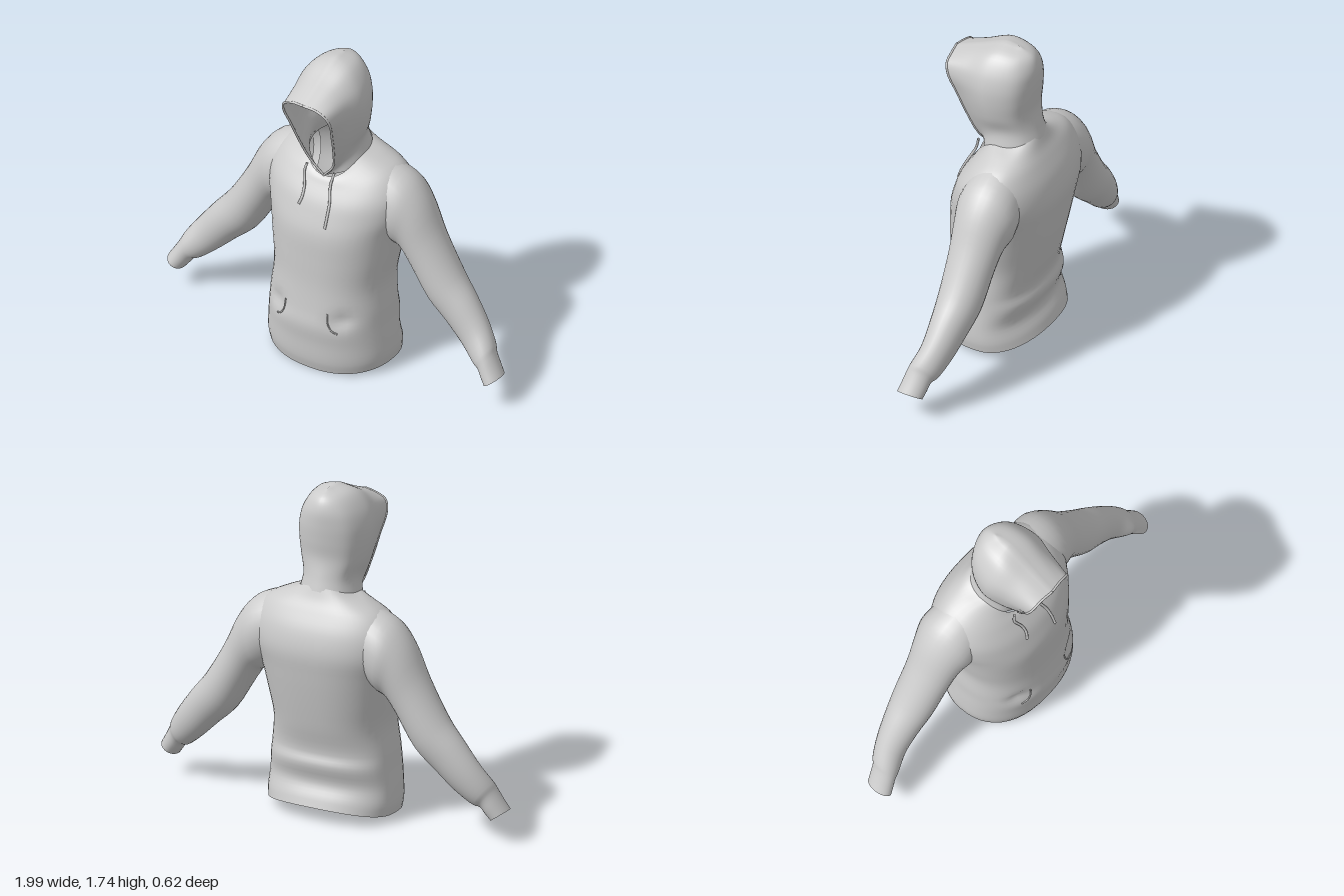
import * as THREE from 'three';
import { mergeVertices } from 'three/addons/utils/BufferGeometryUtils.js';

const V = (x, y, z) => new THREE.Vector3(x, y, z);
const cloth = new THREE.MeshStandardMaterial({ color: 0xcccccc, side: THREE.DoubleSide });

function mesh(name, geometry) {
  const m = new THREE.Mesh(geometry, cloth);
  m.name = name;
  return m;
}

// Smooth skin through rows of points; every column becomes a spline
function loft(rows, steps, adjust) {
  const n = rows[0].length;
  const total = (rows.length - 1) * steps;
  const pos = [], idx = [];
  const columns = rows[0].map((_, j) => new THREE.CatmullRomCurve3(rows.map(r => r[j])));
  for (let i = 0; i <= total; i++) {
    for (let j = 0; j < n; j++) {
      const p = columns[j].getPoint(i / total);
      if (adjust) adjust(p);
      pos.push(p.x, p.y, p.z);
      if (i < total && j < n - 1) {
        const a = i * n + j, b = a + 1, c = b + n, d = a + n;
        idx.push(a, b, c, a, c, d);
      }
    }
  }
  let g = new THREE.BufferGeometry();
  g.setAttribute('position', new THREE.Float32BufferAttribute(pos, 3));
  g.setIndex(idx);
  g = mergeVertices(g, 1e-4);
  g.computeVertexNormals();
  return g;
}

const tube = (points, r) =>
  new THREE.TubeGeometry(new THREE.CatmullRomCurve3(points), 40, r, 8);

// Body ring: half width, then height and depth at front, side and back
function bodyRing([w, yf, zf, ys, zs, yb, zb]) {
  const ring = [];
  for (let j = 0; j <= 48; j++) {
    const t = (j / 48) * Math.PI * 2;
    const power = v => Math.sign(v) * Math.abs(v) ** (2 / 2.3);
    const c = power(Math.cos(t)), s = j % 24 ? power(Math.sin(t)) : 0;
    const [ye, ze] = c > 0 ? [yf, zf] : [yb, zb];
    ring.push(V(w * s, ys + (ye - ys) * c * c, zs + (ze - zs) * Math.abs(c)));
  }
  return ring;
}

function body() {
  const rings = [
    [0.345, 0, 0.27, 0.035, 0, 0.08, -0.25],
    [0.352, 0.06, 0.285, 0.09, 0, 0.13, -0.232],
    [0.346, 0.17, 0.293, 0.18, 0, 0.2, -0.2],
    [0.335, 0.27, 0.303, 0.28, 0, 0.3, -0.225],
    [0.33, 0.36, 0.29, 0.36, 0, 0.36, -0.208],
    [0.315, 0.5, 0.275, 0.5, 0, 0.5, -0.24],
    [0.335, 0.65, 0.27, 0.65, -0.02, 0.65, -0.27],
    [0.36, 0.8, 0.262, 0.8, -0.05, 0.8, -0.295],
    [0.39, 0.9, 0.23, 0.92, -0.07, 0.92, -0.308],
    [0.385, 0.97, 0.2, 1.03, -0.08, 1.03, -0.285],
    [0.33, 1.04, 0.155, 1.12, -0.085, 1.12, -0.24],
    [0.23, 1.07, 0.135, 1.175, -0.07, 1.18, -0.205],
    [0.155, 1.08, 0.12, 1.2, -0.03, 1.24, -0.18],
  ];
  // Shallow hollows at the pocket openings
  return loft(rings.map(bodyRing), 4, p => {
    if (p.z < 0) return;
    const d = ((Math.abs(p.x) - 0.19) / 0.045) ** 2 + ((p.y - 0.33) / 0.045) ** 2;
    p.z -= 0.022 * Math.exp(-d);
  });
}

// Sleeve sections: upper edge x, y; lower edge x, y; back and front depth
function sleeve(side) {
  const sections = [
    [0.25, 1.16, 0.25, 0.78, -0.23, 0.08],
    [0.39, 1.1, 0.33, 0.72, -0.245, 0.085],
    [0.48, 1.0, 0.37, 0.7, -0.225, 0.065],
    [0.57, 0.82, 0.42, 0.63, -0.205, 0.05],
    [0.69, 0.62, 0.53, 0.455, -0.19, 0.04],
    [0.775, 0.515, 0.64, 0.35, -0.165, 0.03],
    [0.86, 0.4, 0.74, 0.255, -0.135, 0.03],
    [0.92, 0.31, 0.83, 0.185, -0.1, 0.055],
    [0.935, 0.275, 0.86, 0.175, -0.08, 0.06],
    [0.965, 0.22, 0.885, 0.142, -0.07, 0.07],
    [0.995, 0.17, 0.91, 0.11, -0.06, 0.08],
  ];
  return loft(sections.map(([ux, uy, lx, ly, z0, z1]) => {
    const ring = [];
    for (let j = 0; j <= 28; j++) {
      const t = (j / 28) * Math.PI * 2;
      const c = Math.cos(t) / 2, s = (side * Math.sin(t)) / 2;
      ring.push(V(
        side * ((ux + lx) / 2 + c * (ux - lx)),
        (uy + ly) / 2 + c * (uy - ly),
        (z0 + z1) / 2 + s * (z1 - z0)));
    }
    return ring;
  }), 4);
}

// Hood levels: rim x, y, z; side x, y, z; back y, z; forward bulge
const hoodLevels = [
  [0, 1.08, 0.12, 0.16, 1.18, -0.03, 1.22, -0.19, 0.035],
  [0.07, 1.17, 0.142, 0.145, 1.27, -0.02, 1.29, -0.17, 0.012],
  [0.105, 1.3, 0.19, 0.174, 1.36, 0, 1.38, -0.152, 0.008],
  [0.125, 1.42, 0.235, 0.19, 1.46, 0.02, 1.47, -0.16, 0.005],
  [0.14, 1.52, 0.275, 0.187, 1.55, 0.03, 1.56, -0.166, 0],
  [0.122, 1.575, 0.295, 0.16, 1.63, 0.04, 1.64, -0.162, 0],
  [0.07, 1.6, 0.3, 0.098, 1.705, 0.04, 1.7, -0.135, 0],
  [0, 1.61, 0.31, 0, 1.74, 0.02, 1.738, -0.06, 0],
];

function hood() {
  return loft(hoodLevels.map(([rx, ry, rz, sx, sy, sz, by, bz, bulge]) => {
    const half = [
      V(rx, ry, rz),
      V((rx + sx) / 2 + bulge, (ry + sy) / 2, (rz + sz) / 2 + bulge),
      V(sx, sy, sz),
      V(sx * 0.72, (sy + by) / 2, bz + (sz - bz) * 0.27),
    ];
    const mirrored = half.map(p => V(-p.x, p.y, p.z)).reverse();
    return new THREE.CatmullRomCurve3([...half, V(0, by, bz), ...mirrored]).getPoints(48);
  }), 5);
}

export function createModel() {
  const group = new THREE.Group();
  group.add(mesh('body', body()), mesh('hood', hood()));

  for (const [side, label] of [[1, 'left'], [-1, 'right']]) {
    group.add(mesh(label + 'Sleeve', sleeve(side)));
    // Hem of the hood opening
    const rim = hoodLevels.map(l => V(side * l[0], l[1], l[2]));
    group.add(mesh(label + 'HoodHem', tube(rim, 0.006)));
    // Stitched edge of the pocket opening
    group.add(mesh(label + 'PocketEdge', tube([
      V(side * 0.125, 0.37, 0.276), V(side * 0.13, 0.32, 0.282),
      V(side * 0.15, 0.28, 0.28), V(side * 0.18, 0.262, 0.268)], 0.004)));
  }

  // Drawstrings hanging from the hood
  group.add(mesh('leftDrawstring', tube([
    V(0.075, 1.13, 0.137), V(0.065, 1.06, 0.158), V(0.085, 0.98, 0.197),
    V(0.09, 0.92, 0.225), V(0.09, 0.86, 0.247)], 0.007)));
  group.add(mesh('rightDrawstring', tube([
    V(-0.09, 1.13, 0.135), V(-0.1, 1.08, 0.146), V(-0.078, 1.02, 0.178),
    V(-0.075, 0.97, 0.203), V(-0.085, 0.93, 0.218)], 0.007)));
  return group;
}
